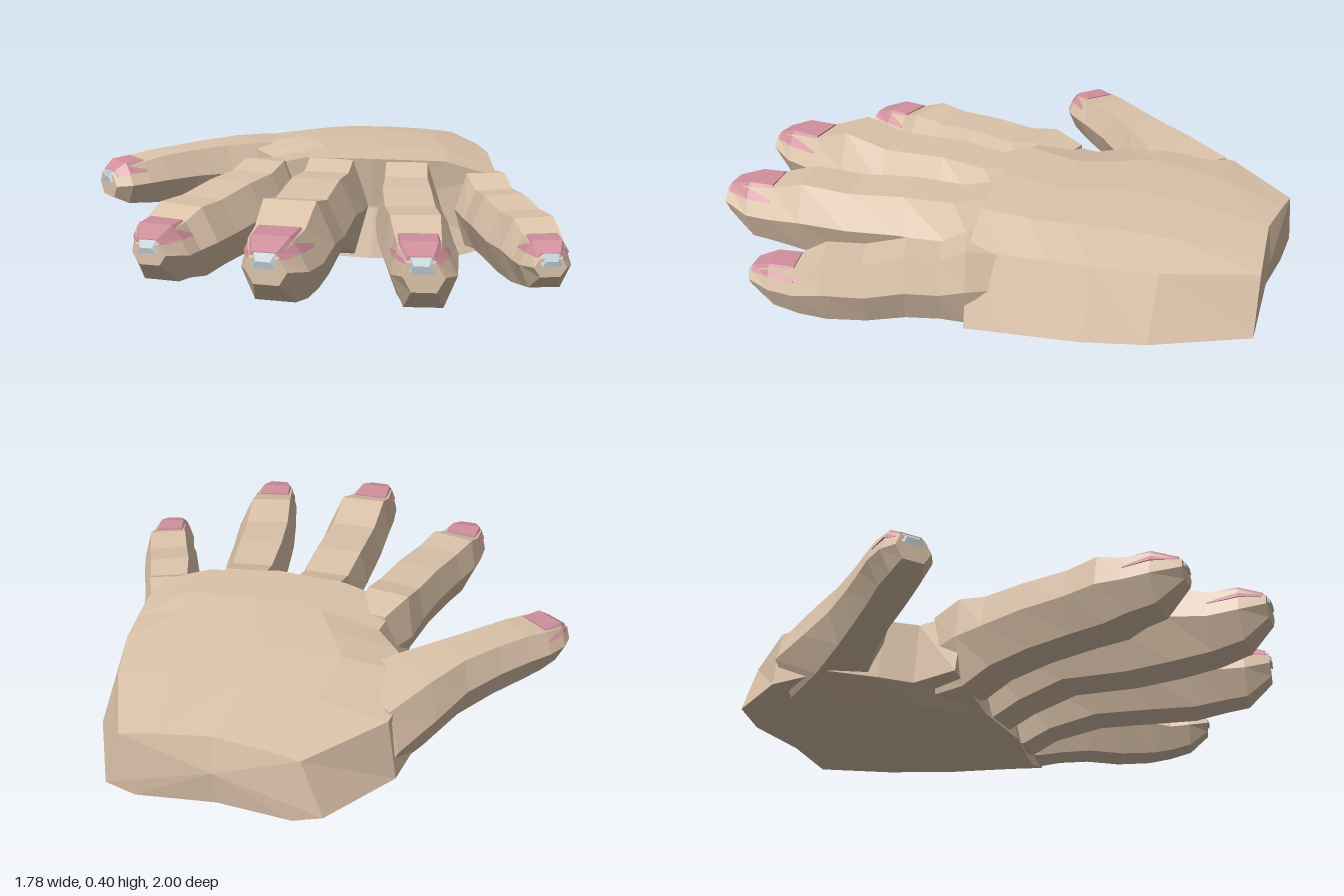
import * as THREE from 'three';

const paint = (color) => new THREE.MeshStandardMaterial({ color, flatShading: true, side: THREE.DoubleSide });

// Skin a row of equal-sized rings (counter-clockwise seen from the far end) and cap both ends.
function loft(name, rings, material) {
  const n = rings[0].length, pos = [], index = [];
  const add = (p) => pos.push(p.x, p.y, p.z) / 3 - 1;
  rings.forEach((r) => r.forEach(add));
  for (let i = 0; i < rings.length - 1; i++) {
    for (let j = 0; j < n; j++) {
      const k = (j + 1) % n, a = i * n + j, b = i * n + k;
      index.push(a, b, b + n, a, b + n, a + n);
    }
  }
  for (const i of [0, rings.length - 1]) {
    const mid = new THREE.Vector3();
    rings[i].forEach((p) => mid.addScaledVector(p, 1 / n));
    const c = add(mid);
    for (let j = 0; j < n; j++) {
      const a = i * n + j, b = i * n + (j + 1) % n;
      if (i) index.push(c, a, b); else index.push(c, b, a);
    }
  }
  const g = new THREE.BufferGeometry();
  g.setAttribute('position', new THREE.Float32BufferAttribute(pos, 3));
  g.setIndex(index);
  g.computeVertexNormals();
  const mesh = new THREE.Mesh(g, material);
  mesh.name = name;
  return mesh;
}

// Palm section: z at left, middle, right; side x; insets of the top corners; bottom corners;
// heights of bottom, side edge, top corners and crown.
function palmRing([zL, zM, zR, L, R, inL, inR, botL, botR, bottom, low, high, top]) {
  const mid = (L + R) / 2, half = (R - L) / 2;
  const at = (x, y) => {
    const t = (x - mid) / half;
    return new THREE.Vector3(x, y, zM + Math.abs(t) * ((t < 0 ? zL : zR) - zM));
  };
  return [at(botL, bottom), at(mid, bottom), at(botR, bottom), at(R, low), at(R - inR, high),
    at(mid + half * 0.5, top - 0.008), at(mid, top), at(mid - half * 0.5, top - 0.008), at(L + inL, high), at(L, low)];
}

// Finger path rows: x, z, half width, top, bottom. The last three rows carry the nail.
function finger(name, path, shift, skin, pink, pale) {
  const group = new THREE.Group();
  group.name = name;
  const dirs = path.map((p, i) => {
    const a = path[Math.max(i - 1, 0)], b = path[Math.min(i + 1, path.length - 1)];
    return new THREE.Vector3(b[0] - a[0], 0, b[1] - a[1]).normalize();
  });
  const place = (i, u, y, forward = 0) => {
    const [x, z] = path[i], d = dirs[i];
    return new THREE.Vector3(x + d.z * u + d.x * forward, y, z - d.x * u + d.z * forward);
  };
  const rings = path.map(([, , w, top, bot], i) => {
    const h = top - bot;
    return [[-0.6, 0], [0.6, 0], [1, 0.52], [0.66, 1], [-0.66, 1], [-1, 0.52]]
      .map(([u, v]) => place(i, u * w + (v === 1 ? shift * w : 0), bot + v * h));
  });
  group.add(loft('fingerFlesh', rings, skin));

  // Nail plate hugging the top facets, with a small pale free edge
  const nailRing = (i, size, forward, lift) => {
    const [, , w, top, bot] = path[i], h = top - bot;
    return [[0.9, 0.74], [0.58, 1], [-0.58, 1], [-0.9, 0.74]]
      .map(([u, v]) => place(i, (u * size + shift * (v === 1 ? 1 : 0.5)) * w, bot + v * h + lift, forward));
  };
  const n = path.length;
  group.add(loft('nail', [nailRing(n - 3, 0.94, 0, 0.005), nailRing(n - 2, 0.96, 0, 0.012),
    nailRing(n - 1, 0.98, -0.012, 0.016)], pink));
  group.add(loft('nailEdge', [nailRing(n - 1, 0.85, -0.012, 0.013), nailRing(n - 1, 0.6, 0.008, -0.008)], pale));
  return group;
}

export function createModel() {
  const hand = new THREE.Group();
  hand.name = 'hand';
  const skin = paint(0xdcc3aa), pink = paint(0xd0909c), pale = paint(0xb4c0c8);

  // Palm and wrist
  hand.add(loft('palm', [
    [-0.99, -0.96, -1.0, -0.25, 0.45, 0.07, 0.06, -0.15, 0.36, 0.07, 0.11, 0.305, 0.325],
    [-0.74, -0.72, -0.70, -0.42, 0.60, 0.03, 0.08, -0.24, 0.44, 0.045, 0.10, 0.315, 0.355],
    [-0.48, -0.50, -0.50, -0.46, 0.65, 0.03, 0.075, -0.26, 0.47, 0.035, 0.09, 0.325, 0.37],
    [-0.34, -0.36, -0.36, -0.36, 0.67, 0.03, 0.075, -0.22, 0.48, 0.03, 0.085, 0.325, 0.378],
    [-0.24, -0.24, -0.24, -0.28, 0.685, 0.03, 0.075, -0.18, 0.48, 0.02, 0.08, 0.325, 0.385],
    [-0.05, -0.02, -0.11, -0.34, 0.695, 0.06, 0.075, -0.10, 0.46, 0.0, 0.07, 0.325, 0.385],
  ].map(palmRing), skin));

  const fingers = {
    indexFinger: [-0.15, [
      [-0.19, -0.16, 0.085, 0.34, 0.04], [-0.22, -0.03, 0.12, 0.362, 0.03], [-0.24, 0.08, 0.12, 0.34, 0.08],
      [-0.28, 0.24, 0.12, 0.34, 0.10], [-0.33, 0.42, 0.12, 0.325, 0.10], [-0.365, 0.54, 0.125, 0.33, 0.095],
      [-0.39, 0.62, 0.108, 0.30, 0.11], [-0.40, 0.70, 0.10, 0.295, 0.12], [-0.405, 0.792, 0.055, 0.265, 0.20]]],
    middleFinger: [-0.12, [
      [0.03, -0.16, 0.10, 0.36, 0.04], [0.035, -0.03, 0.125, 0.378, 0.01], [0.035, 0.07, 0.125, 0.35, 0.06],
      [0.03, 0.24, 0.13, 0.365, 0.11], [0.03, 0.48, 0.13, 0.355, 0.10], [0.03, 0.65, 0.13, 0.395, 0.11],
      [0.03, 0.79, 0.12, 0.345, 0.125], [0.025, 0.90, 0.105, 0.34, 0.15], [0.02, 0.99, 0.064, 0.31, 0.23]]],
    ringFinger: [-0.15, [
      [0.31, -0.16, 0.09, 0.36, 0.04], [0.32, -0.03, 0.115, 0.375, 0.01], [0.33, 0.07, 0.115, 0.345, 0.06],
      [0.355, 0.25, 0.125, 0.35, 0.10], [0.39, 0.45, 0.125, 0.34, 0.10], [0.425, 0.62, 0.12, 0.36, 0.10],
      [0.445, 0.735, 0.108, 0.33, 0.12], [0.458, 0.82, 0.10, 0.325, 0.13], [0.468, 0.915, 0.062, 0.30, 0.21]]],
    littleFinger: [0.05, [
      [0.55, -0.20, 0.08, 0.32, 0.08], [0.585, -0.08, 0.11, 0.335, 0.06], [0.62, 0.0, 0.105, 0.295, 0.075],
      [0.66, 0.11, 0.11, 0.305, 0.08], [0.715, 0.23, 0.11, 0.285, 0.07], [0.765, 0.35, 0.105, 0.295, 0.075],
      [0.795, 0.43, 0.093, 0.26, 0.09], [0.812, 0.51, 0.083, 0.255, 0.11], [0.828, 0.585, 0.052, 0.23, 0.17]]],
    thumb: [-0.08, [
      [-0.28, -0.62, 0.185, 0.325, 0.06], [-0.40, -0.47, 0.15, 0.345, 0.085], [-0.51, -0.345, 0.11, 0.352, 0.13],
      [-0.615, -0.23, 0.098, 0.35, 0.15], [-0.705, -0.13, 0.098, 0.345, 0.16], [-0.76, -0.07, 0.1, 0.335, 0.17],
      [-0.808, -0.01, 0.092, 0.325, 0.18], [-0.842, 0.032, 0.062, 0.295, 0.21]]],
  };
  for (const [name, [shift, path]] of Object.entries(fingers)) {
    hand.add(finger(name, path, shift, skin, pink, pale));
  }
  return hand;
}
